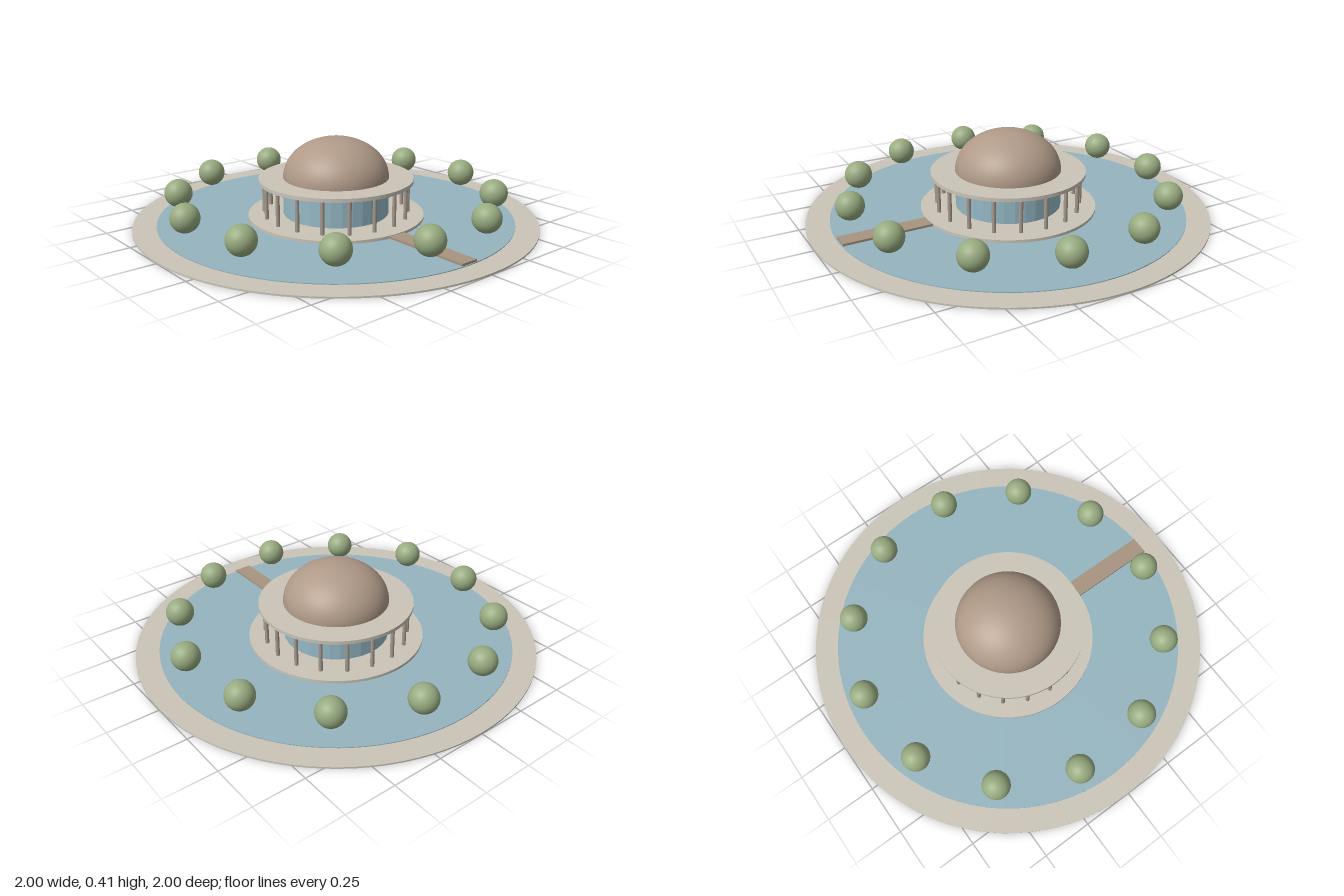
import * as THREE from 'three';

const mat = (name, color) => {
  const m = new THREE.MeshStandardMaterial({ color });
  m.name = name;
  return m;
};

export function createModel() {
  const root = new THREE.Group();
  root.name = 'domedPavilion';
  const stone = mat('paleStone', 0xcbc5b8);
  const water = mat('blueWater', 0x95b5c0);
  const glass = mat('blueGlass', 0x95b9c6);
  const clay = mat('brownClay', 0xb09a88);
  const wood = mat('brownDeck', 0xa8937f);
  const post = mat('greyBrownColumn', 0xa59b90);
  const leaf = mat('greenLeaf', 0x98ab80);
  // flat-shaded variants are made by splitting the geometry's faces
  const faceted = (g) => {
    const f = g.index ? g.toNonIndexed() : g;
    f.computeVertexNormals();
    return f;
  };

  const add = (name, geometry, material, x = 0, y = 0, z = 0, parent = root) => {
    const mesh = new THREE.Mesh(geometry, material);
    mesh.name = name;
    mesh.position.set(x, y, z);
    parent.add(mesh);
    return mesh;
  };
  // upright disc or drum between two heights
  const disc = (name, r, y0, y1, material, sides = 96) =>
    add(name, new THREE.CylinderGeometry(r, r, y1 - y0, sides), material, 0, (y0 + y1) / 2, 0);

  // Ground, pool and island
  disc('groundDisc', 1, 0, 0.008, stone);
  disc('pool', 0.885, 0.006, 0.012, water);
  disc('island', 0.44, 0.008, 0.026, stone);

  // Footbridge from the island to the rim
  add('footbridge', new THREE.BoxGeometry(0.09, 0.014, 0.46), wood, 0, 0.016, 0.65);

  // Glass drum, canopy and dome
  disc('glassDrum', 0.264, 0.026, 0.192, glass, 32).geometry = faceted(
    new THREE.CylinderGeometry(0.264, 0.264, 0.166, 32));
  disc('canopy', 0.386, 0.191, 0.209, stone);
  const dome = new THREE.SphereGeometry(0.264, 48, 16, 0, Math.PI * 2, 0, Math.PI / 2);
  dome.scale(1, 0.76, 1);
  add('dome', dome, clay, 0, 0.209, 0);

  // Ring of columns
  const columns = new THREE.Group();
  columns.name = 'columns';
  root.add(columns);
  const columnGeo = new THREE.CylinderGeometry(0.01, 0.01, 0.168, 12);
  for (let i = 0; i < 18; i++) {
    const a = (i * Math.PI) / 9;
    add('column', columnGeo, post, 0.36 * Math.cos(a), 0.109, 0.36 * Math.sin(a), columns);
  }

  // Ring of round trees
  const trees = new THREE.Group();
  trees.name = 'trees';
  root.add(trees);
  const treeGeo = new THREE.IcosahedronGeometry(0.07, 5);
  for (let i = 0; i < 12; i++) {
    const a = Math.PI / 18 + (i * Math.PI) / 6;
    add('tree', treeGeo, leaf, 0.79 * Math.cos(a), 0.122, 0.79 * Math.sin(a), trees);
  }
  return root;
}
